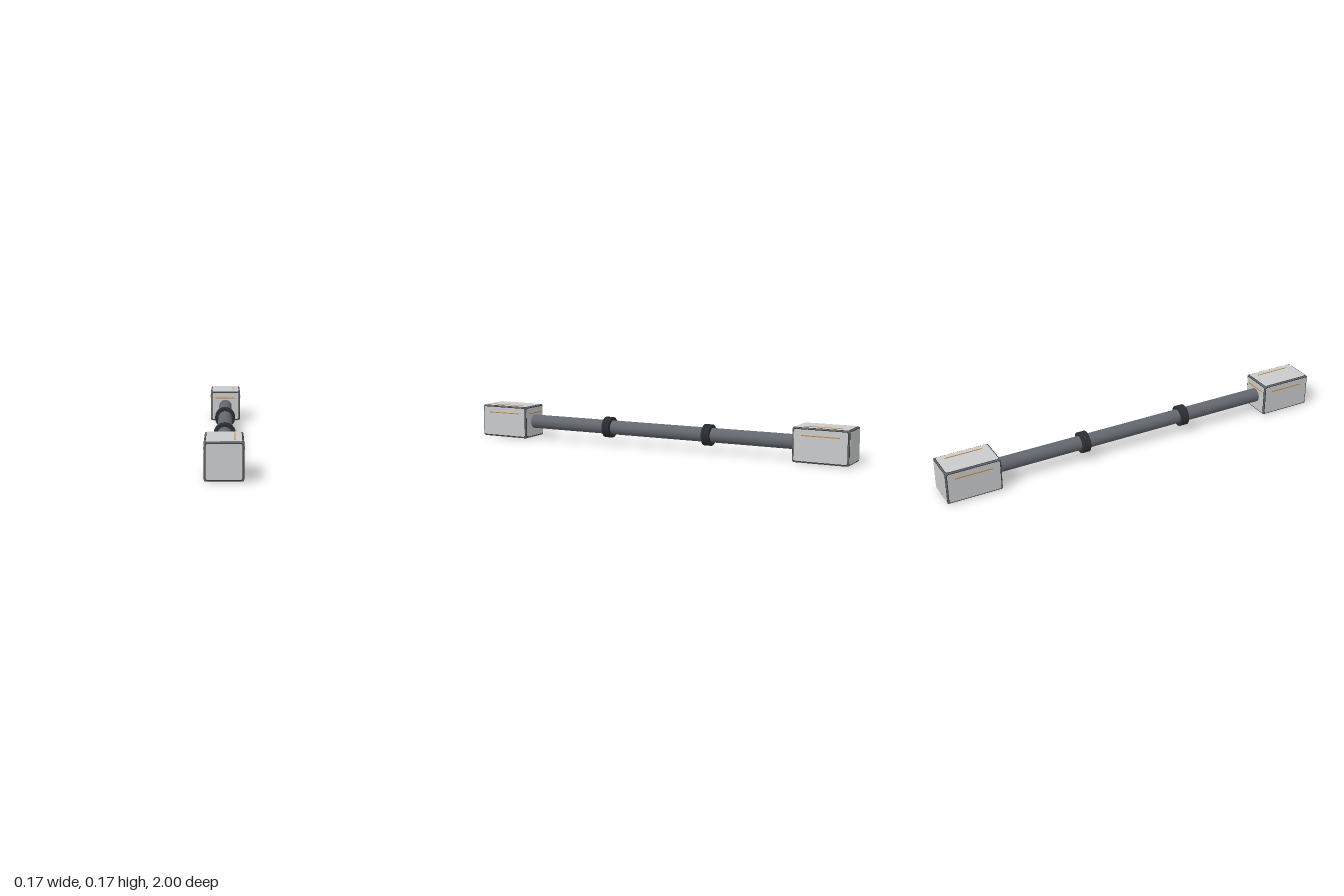
import * as THREE from 'three';
import { RoundedBoxGeometry } from 'three/addons/geometries/RoundedBoxGeometry.js';

function mat(name, color) {
  const m = new THREE.MeshStandardMaterial({ color });
  m.name = name;
  return m;
}

const CY = 0.085;     // height of the axis
const HALF = 0.0825;  // half width of a head
const LEN = 0.136;    // half length of a head
const MID = 0.864;    // z of a head's centre

// Flat plate with rounded corners, lying in xy and rising from z = 0
function plate(w, h, r, depth) {
  const s = new THREE.Shape();
  const x = w / 2, y = h / 2;
  s.moveTo(-x + r, -y);
  s.lineTo(x - r, -y);
  s.absarc(x - r, -y + r, r, -Math.PI / 2, 0);
  s.absarc(x - r, y - r, r, 0, Math.PI / 2);
  s.absarc(-x + r, y - r, r, Math.PI / 2, Math.PI);
  s.absarc(-x + r, -y + r, r, Math.PI, Math.PI * 1.5);
  return new THREE.ExtrudeGeometry(s, { depth, bevelEnabled: false, curveSegments: 4 });
}

export function createModel() {
  const root = new THREE.Group();
  root.name = 'doubleHeadedStaff';
  const panelMat = mat('light panel', 0xc9cacc);
  const frameMat = mat('frame grey', 0x606266);
  const poleMat = mat('pole grey', 0x63686f);
  const ringMat = mat('grip black', 0x2d2e31);
  const seamMat = mat('seam black', 0x1d1e20);
  const stripeMat = mat('orange stripe', 0xc9822b);

  const add = (parent, geo, material, name) => {
    const m = new THREE.Mesh(geo, material);
    m.name = name;
    parent.add(m);
    return m;
  };

  // Pole along z
  const pole = add(root, new THREE.CylinderGeometry(0.035, 0.035, 1.48, 32), poleMat, 'pole');
  pole.rotation.x = Math.PI / 2;
  pole.position.y = CY;

  // Ribbed grip rings
  const profile = [[0.034, -0.021], [0.047, -0.021]];
  for (let i = -1; i <= 1; i++) {
    const c = i * 0.014;
    profile.push([0.052, c - 0.005], [0.052, c + 0.005], [0.048, c + 0.007]);
  }
  profile.push([0.047, 0.021], [0.034, 0.021]);
  // Repeating each point keeps the rib edges crisp
  const points = profile.flatMap(([r, y]) => [new THREE.Vector2(r, y), new THREE.Vector2(r, y)]);
  const ringGeo = new THREE.LatheGeometry(points, 32).toNonIndexed();
  ringGeo.computeVertexNormals();
  for (const z of [-0.275, 0.275]) {
    const ring = add(root, ringGeo, ringMat, 'gripRing');
    ring.rotation.x = Math.PI / 2;
    ring.position.set(0, CY, z);
  }

  // Panelled heads: frame core, then seam, panel and stripe on each face
  for (const end of [1, -1]) {
    const head = new THREE.Group();
    head.name = end > 0 ? 'frontHead' : 'backHead';
    head.position.set(0, CY, end * MID);
    root.add(head);
    const core = HALF - 0.0015;
    add(head, new RoundedBoxGeometry(core * 2, core * 2, (LEN - 0.0015) * 2, 2, 0.006), frameMat, 'frame');

    // Face rotation, width, height, distance, stripe centre and whether it runs upright
    const q = Math.PI / 2, L = LEN * 2, W = HALF * 2;
    const faces = [
      { name: 'top', rot: [-q, 0, 0], w: W, h: L, d: HALF, at: [0.045, 0], upright: true },
      { name: 'bottom', rot: [q, 0, 0], w: W, h: L, d: HALF, at: [0.045, 0], upright: true },
      { name: 'left', rot: [0, q, 0], w: L, h: W, d: HALF, at: [0, 0.045] },
      { name: 'right', rot: [0, -q, 0], w: L, h: W, d: HALF, at: [0, 0.045] },
      { name: 'outer', rot: [0, end > 0 ? 0 : Math.PI, 0], w: W, h: W, d: LEN },
      { name: 'inner', rot: [0, end > 0 ? Math.PI : 0, 0], w: W, h: W, d: LEN, at: [0, 0.045] },
    ];
    for (const f of faces) {
      const side = new THREE.Group();
      side.name = f.name + 'Face';
      side.rotation.set(...f.rot);
      head.add(side);
      const seam = add(side, plate(f.w - 0.014, f.h - 0.014, 0.010, 0.004), seamMat, 'seam');
      seam.position.z = f.d - 0.0048;
      const panel = add(side, plate(f.w - 0.018, f.h - 0.018, 0.008, 0.004), panelMat, 'panel');
      panel.position.z = f.d - 0.004;
      if (!f.at) continue;
      const long = (f.upright ? f.h : f.w) * 0.667;
      const size = f.upright ? [0.004, long] : [long, 0.004];
      const stripe = add(side, new THREE.BoxGeometry(...size, 0.003), stripeMat, 'stripe');
      stripe.position.set(f.at[0], f.at[1], f.d + 0.0005);
    }
  }
  return root;
}
